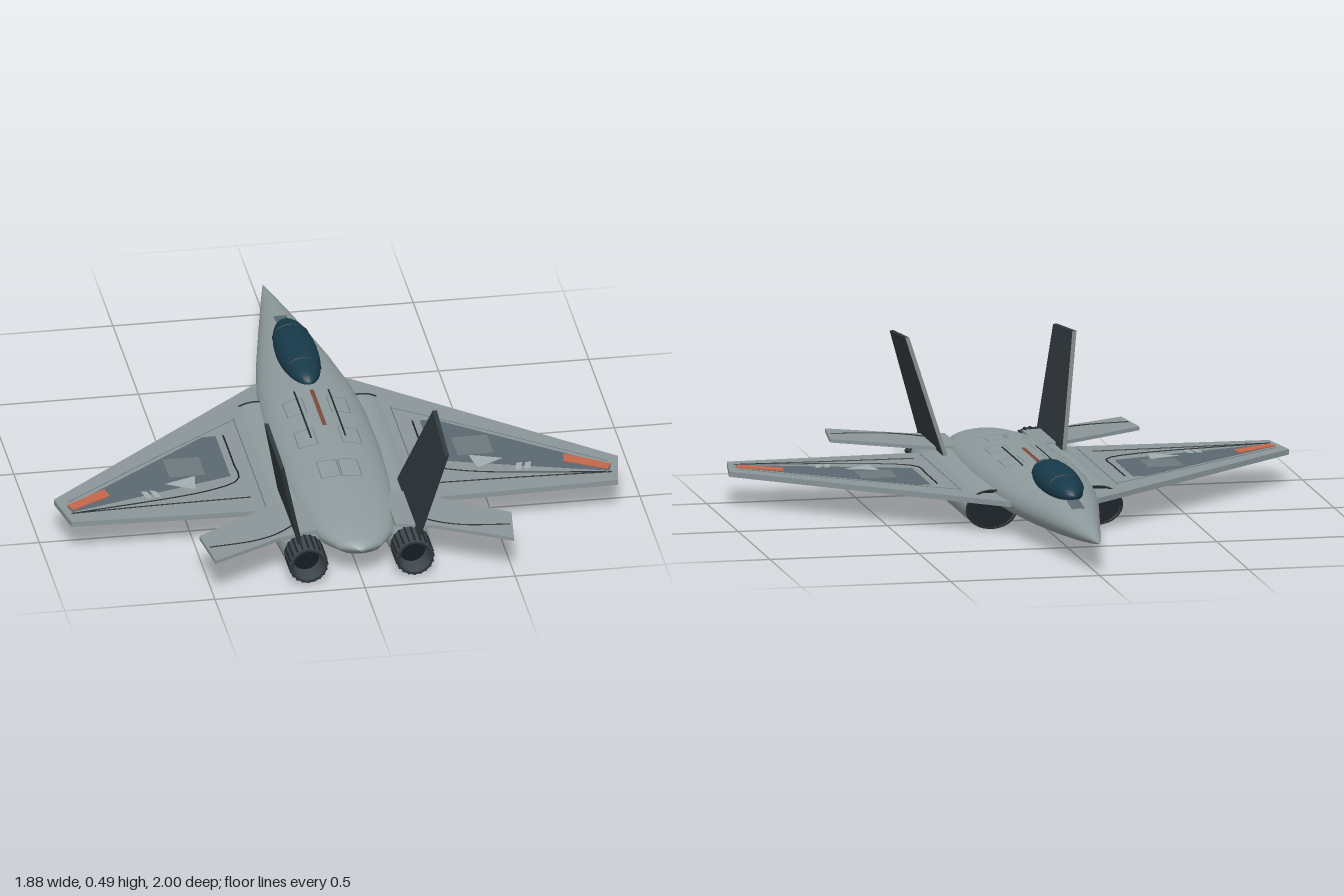
import * as THREE from 'three';

const mat = (color) => new THREE.MeshStandardMaterial({ color, side: THREE.DoubleSide });
const M = {
  hull: mat(0x8e9a9d), wing: mat(0x8b9699), panel: mat(0x5a686f), line: mat(0x20272b), seam: mat(0x6d797d),
  fin: mat(0x30393d), glass: mat(0x173a4a), orange: mat(0xc4674a), spine: mat(0x7a4a3a),
  nozzle: mat(0x3d474c), dark: mat(0x141c22), light: mat(0xa3adaf),
};

// Fuselage stations: z, half width, top y, bottom y, y of the widest line
const STATIONS = [
  [-1, 0.002, 0.117, 0.113, 0.115], [-0.9, 0.024, 0.133, 0.097, 0.115], [-0.8, 0.045, 0.15, 0.084, 0.115],
  [-0.6, 0.086, 0.179, 0.065, 0.117], [-0.4, 0.126, 0.194, 0.053, 0.118], [-0.2, 0.158, 0.201, 0.046, 0.12],
  [0, 0.175, 0.206, 0.043, 0.12], [0.25, 0.18, 0.205, 0.043, 0.12], [0.5, 0.172, 0.194, 0.046, 0.12],
  [0.7, 0.152, 0.178, 0.054, 0.12], [0.83, 0.12, 0.162, 0.07, 0.118], [0.91, 0.07, 0.145, 0.09, 0.116],
  [0.94, 0.008, 0.12, 0.112, 0.116],
];

// Interpolate a station at any z
function station(z) {
  let i = 0;
  while (i < STATIONS.length - 2 && z > STATIONS[i + 1][0]) i++;
  const a = STATIONS[i], b = STATIONS[i + 1], t = (z - a[0]) / (b[0] - a[0]);
  return a.map((v, k) => v + (b[k] - v) * t);
}
function topY(x, z) {
  const [, w, top, , mid] = station(z);
  return mid + (top - mid) * Math.sqrt(Math.max(0, 1 - (x / w) ** 2));
}

// Smooth skin through elliptical sections; point(i, angle) gives [x, y, z]
function loft(rows, point, sides = 48) {
  const pos = [], idx = [];
  for (let i = 0; i < rows; i++)
    for (let j = 0; j < sides; j++) pos.push(...point(i, (j / sides) * Math.PI * 2));
  for (let i = 0; i < rows - 1; i++)
    for (let j = 0; j < sides; j++) {
      const a = i * sides + j, b = i * sides + ((j + 1) % sides), c = a + sides, d = b + sides;
      idx.push(a, b, c, b, d, c);
    }
  const g = new THREE.BufferGeometry();
  g.setAttribute('position', new THREE.Float32BufferAttribute(pos, 3));
  g.setIndex(idx);
  g.computeVertexNormals();
  return g;
}

// Flat plate from [x, z] corners, with its top at the given y
function plate(points, s, top, thick) {
  const shape = new THREE.Shape(points.map(([x, z]) => new THREE.Vector2(x * s, z)));
  return new THREE.ExtrudeGeometry(shape, { depth: thick, bevelEnabled: false })
    .rotateX(Math.PI / 2).translate(0, top, 0);
}

// Thin seam line through [x, z] points at one height
function seam(points, s, y, r = 0.003) {
  const path = new THREE.CatmullRomCurve3(points.map(([x, z]) => new THREE.Vector3(x * s, y, z)));
  return new THREE.TubeGeometry(path, 24, r, 5);
}

// Patch that follows the top of the fuselage
function patch(x0, x1, z0, z1, lift = 0.002) {
  const g = new THREE.PlaneGeometry(x1 - x0, z1 - z0, 4, 14).rotateX(-Math.PI / 2);
  g.translate((x0 + x1) / 2, 0, (z0 + z1) / 2);
  const p = g.attributes.position;
  for (let i = 0; i < p.count; i++) p.setY(i, topY(p.getX(i), p.getZ(i)) + lift);
  g.computeVertexNormals();
  return g;
}

export function createModel() {
  const model = new THREE.Group();
  const add = (name, geo, material, parent = model) => {
    const mesh = new THREE.Mesh(geo, material);
    mesh.name = name;
    parent.add(mesh);
    return mesh;
  };

  // Fuselage
  add('fuselage', loft(STATIONS.length, (i, a) => {
    const [z, w, top, bottom, mid] = STATIONS[i], s = Math.sin(a);
    return [w * Math.cos(a), mid + s * (s > 0 ? top - mid : mid - bottom), z];
  }), M.hull);

  // Canopy with its two frames
  const canopy = new THREE.Group();
  canopy.name = 'canopy';
  canopy.position.set(0, 0.2, -0.34);
  canopy.rotation.x = -0.03;
  model.add(canopy);
  add('canopyGlass', new THREE.SphereGeometry(1, 40, 24).scale(0.069, 0.055, 0.242), M.glass, canopy);
  for (const z of [-0.12, 0.135]) {
    const k = Math.sqrt(1 - (z / 0.242) ** 2);
    add('canopyFrame', new THREE.TorusGeometry(1, 0.035, 6, 32, Math.PI)
      .scale(0.069 * k, 0.055 * k, 0.06).translate(0, 0, z), M.line, canopy);
  }

  // Nose panel, spine strip and hull panel lines
  add('nosePanel', patch(-0.022, 0.022, -0.67, -0.56), M.panel);
  add('spineStrip', patch(-0.007, 0.007, -0.05, 0.21, 0.005), M.spine);

  for (const s of [1, -1]) {
    const side = new THREE.Group();
    side.name = s > 0 ? 'leftSide' : 'rightSide';
    model.add(side);
    const put = (name, geo, material) => add(name, geo, material, side);

    put('hullSlot', patch(s * 0.057 - 0.003, s * 0.057 + 0.003, -0.06, 0.28, 0.003), M.line);
    for (const [cx, cz] of [[0.073, 0.05], [0.073, 0.27], [0.035, 0.49]]) {
      const x = s * cx, w = 0.032, h = 0.053, t = 0.0015;
      for (const e of [-1, 1]) {
        put('hatchSeam', patch(x + e * w - t, x + e * w + t, cz - h, cz + h), M.seam);
        put('hatchSeam', patch(x - w, x + w, cz + e * h - t, cz + e * h + t), M.seam);
      }
    }

    // Main wing and its markings
    const W = 0.127;
    put('wing', plate([[0.08, -0.28], [0.15, -0.28], [0.94, 0.43], [0.91, 0.6], [0.25, 0.625], [0.08, 0.63]], s, W, 0.018), M.wing);
    put('wingPanel', plate([[0.34, 0.07], [0.385, 0.07], [0.905, 0.49], [0.895, 0.53], [0.34, 0.36]], s, W + 0.001, 0.002), M.panel);
    put('wingHatch', plate([[0.42, 0.21], [0.54, 0.21], [0.54, 0.34], [0.42, 0.34]], s, W + 0.002, 0.002), M.seam);
    put('wingTriangle', plate([[0.455, 0.345], [0.56, 0.385], [0.47, 0.44]], s, W + 0.003, 0.003), M.light);
    for (const x of [0.6, 0.63])
      put('wingTick', plate([[x, 0.43], [x + 0.02, 0.425], [x + 0.01, 0.475], [x - 0.01, 0.475]], s, W + 0.003, 0.003), M.light);
    put('tipMarking', plate([[0.765, 0.39], [0.905, 0.485], [0.89, 0.52], [0.755, 0.44]], s, W + 0.004, 0.004), M.orange);
    put('wingCurveLine', seam([[0.255, 0.07], [0.255, 0.07].map((v, i) => v + (i ? 0.2 : 0.06)), [0.32, 0.39], [0.42, 0.45], [0.89, 0.54]]
      .map((p, i) => (i ? p : [0.315, 0.07])), s, W), M.line);
    put('flapLine', seam([[0.3, 0.522], [0.6, 0.528], [0.9, 0.54]], s, W), M.line);
    put('leadingEdgeLine', seam([[0.26, -0.04], [0.55, 0.18], [0.9, 0.46]], s, W, 0.0018), M.seam);
    put('wingRootLine', seam([[0.262, -0.05], [0.262, 0.25], [0.262, 0.6]], s, W, 0.0018), M.seam);

    // Tailplane
    put('tailplane', plate([[0.13, 0.61], [0.2, 0.6], [0.52, 0.81], [0.497, 0.995], [0.26, 0.865], [0.13, 0.83]], s, 0.148, 0.012), M.wing);
    put('tailplaneLine', seam([[0.2, 0.78], [0.27, 0.84], [0.35, 0.875], [0.5, 0.897]], s, 0.148), M.line);

    // Outward-leaning fin
    const finShape = new THREE.Shape([[0.49, 0.13], [0.5, 0.15], [0.715, 0.495], [0.99, 0.468], [0.9, 0.15], [0.895, 0.13]]
      .map(([z, y]) => new THREE.Vector2(-z, y)));
    const fin = new THREE.ExtrudeGeometry(finShape, { depth: 0.014, bevelEnabled: false })
      .translate(0, 0, -0.007).rotateY(Math.PI / 2);
    const p = fin.attributes.position;
    for (let i = 0; i < p.count; i++) p.setX(i, p.getX(i) + s * (0.202 + 0.228 * (p.getY(i) - 0.15)));
    fin.computeVertexNormals();
    put('fin', fin, M.fin);

    // Engine nacelle: oval intake easing into a round tail
    const engine = new THREE.Group();
    engine.name = 'engine';
    engine.position.set(s * 0.177, 0.075, 0);
    side.add(engine);
    const duct = [[-0.13, 0.084, 0.064], [0, 0.088, 0.066], [0.4, 0.088, 0.066], [0.65, 0.08, 0.066], [0.84, 0.066, 0.064]];
    add('nacelle', loft(duct.length, (i, a) => [duct[i][1] * Math.cos(a), duct[i][2] * Math.sin(a), duct[i][0]], 40), M.hull, engine);
    add('intakeLip', new THREE.TorusGeometry(1, 0.05, 8, 40).scale(0.083, 0.063, 0.12).translate(0, 0, -0.13), M.line, engine);
    add('intakeFace', new THREE.CircleGeometry(1, 40).scale(0.082, 0.063, 1).translate(0, 0, -0.115), M.dark, engine);

    // Ribbed exhaust nozzle with a dark throat
    const profile = [[0.062, 0.82], [0.064, 0.85], [0.062, 0.94], [0.05, 0.94], [0.045, 0.87]]
      .map(([r, z]) => new THREE.Vector2(r, z));
    add('nozzle', new THREE.LatheGeometry(profile, 40).rotateX(Math.PI / 2), M.nozzle, engine);
    add('nozzleThroat', new THREE.CircleGeometry(0.05, 32).translate(0, 0, 0.875), M.dark, engine);
    for (let i = 0; i < 20; i++)
      add('nozzleRib', new THREE.BoxGeometry(0.006, 0.007, 0.1).translate(0, 0.062, 0.887)
        .rotateZ((i / 20) * Math.PI * 2), M.line, engine);
  }
  return model;
}
